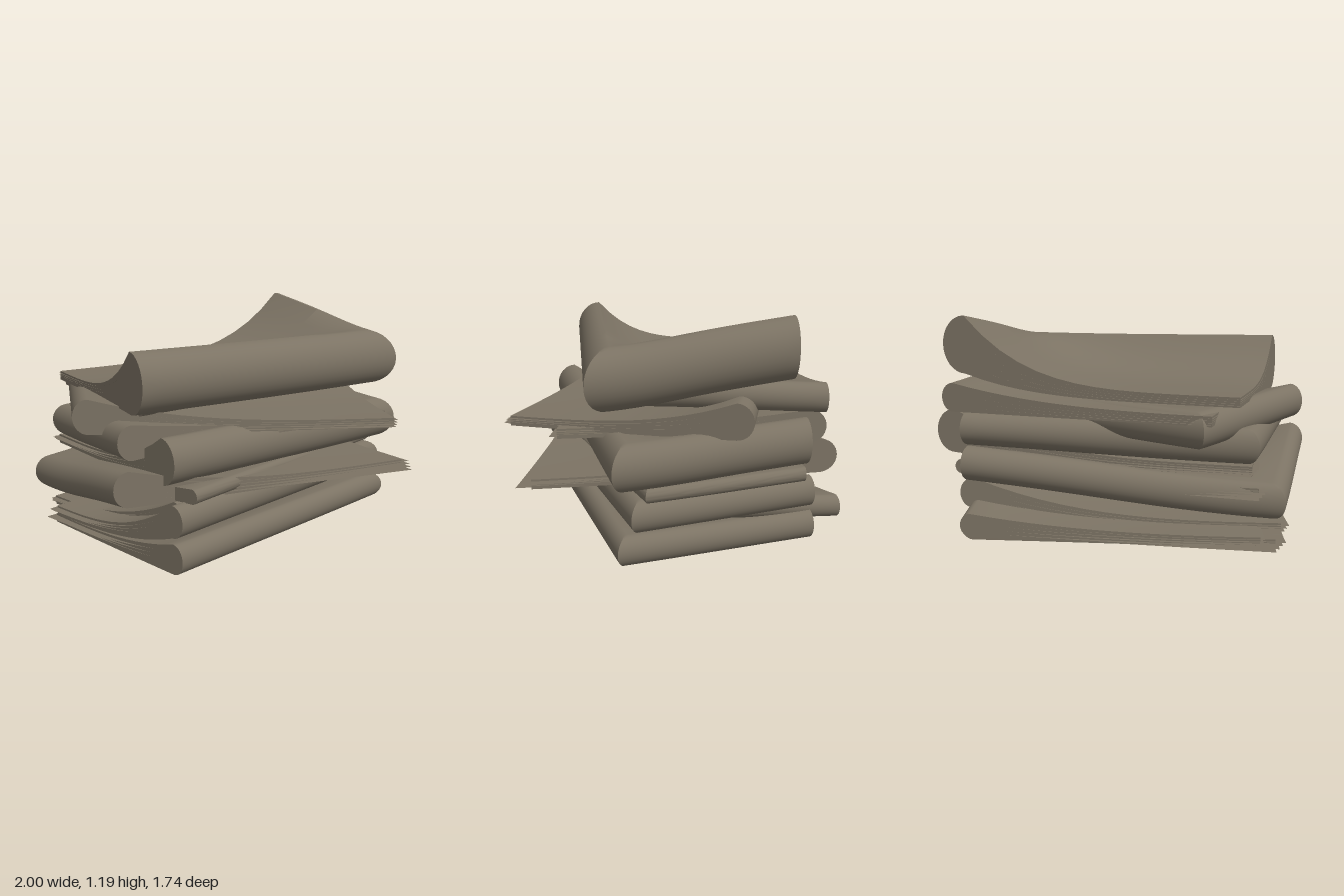
import * as THREE from 'three';
import { toCreasedNormals } from 'three/addons/utils/BufferGeometryUtils.js';

const paper = new THREE.MeshStandardMaterial({ color: 0x7c7364, side: THREE.DoubleSide });
paper.name = 'greyBrownPaper';

const LEAF_THICKNESS = 0.05;
const LEAVES = 4;
const { lerp } = THREE.MathUtils;

// Folded bundles from the floor up. Each lies at x, z, turned by yaw degrees;
// taper narrows its depth towards the side fold, loose is how far leaves stick out.
// low is the underside at the loose corner, the side fold, where folds meet, the long fold.
const BUNDLES = [
  { name: 'bottomBundle', x: 0.02, z: 0.035, yaw: 15, width: 1.66, depth: 1.05, taper: 0,
    low: [0.01, 0.005, 0, 0.015], thick: 0.155, loose: 0.08 },
  { name: 'secondBundleLowerPart', x: 0.01, z: -0.13, yaw: 17, width: 1.52, depth: 1.04, taper: 0,
    low: [0.06, 0.08, 0.2, 0.2], thick: 0.12, loose: 0.04 },
  { name: 'secondBundle', x: 0.02, z: 0.035, yaw: 17, width: 1.69, depth: 0.99, taper: 0,
    low: [0.08, 0.18, 0.175, 0.2], thick: 0.165, loose: 0.06 },
  { name: 'thirdBundle', x: -0.145, z: 0.03, yaw: 184.6, width: 1.61, depth: 1.26, taper: 0.24,
    low: [0.34, 0.35, 0.19, 0.35], thick: 0.18, loose: 0.05 },
  { name: 'thinBundle', x: 0.07, z: -0.02, yaw: 13.9, width: 1.61, depth: 1.02, taper: 0.18,
    low: [0.31, 0.35, 0.33, 0.365], thick: 0.075, loose: 0.07 },
  { name: 'fourthBundle', x: 0.1, z: 0, yaw: 9, width: 1.69, depth: 1.05, taper: 0.07,
    low: [0.42, 0.46, 0.385, 0.435], thick: 0.235, loose: 0.05 },
  { name: 'innerBundle', x: -0.085, z: -0.03, yaw: 182.5, width: 1.51, depth: 1.1, taper: 0.23,
    low: [0.59, 0.53, 0.47, 0.52], thick: 0.18, loose: 0.03 },
  { name: 'fifthBundle', x: -0.03, z: 0.005, yaw: 161.3, width: 1.64, depth: 1.09, taper: 0.13,
    low: [0.62, 0.63, 0.58, 0.63], thick: 0.18, loose: 0.03 },
  { name: 'topBundleLowerPart', x: 0.05, z: -0.16, yaw: 1.4, width: 1.44, depth: 1.07, taper: 0,
    low: [0.7, 0.7, 0.76, 0.72], thick: 0.15, loose: 0.01 },
  { name: 'topBundle', x: 0.06, z: -0.005, yaw: 2, width: 1.63, depth: 1.03, taper: 0.02,
    low: [0.77, 0.88, 0.735, 0.755], thick: 0.31, loose: 0.01 },
];

const foldRadius = (b) => b.thick * 0.42;

// Point of a bundle: u runs to the side fold, v to the long fold, f from underside to top.
// Heights swell only near the folds, so the middle stays a shallow dish.
function bundlePoint(b, u, v, f) {
  const rise = (w, size) =>
    THREE.MathUtils.clamp(w / (1 - foldRadius(b) / size), 0, 1) ** (1.5 + 9 * b.thick);
  const s = rise(u, b.width);
  const t = rise(v, b.depth);
  const swell = 1 - (1 - s) * (1 - t);
  const [loose, side, both, long] = b.low;
  const foldLow = (s * lerp(side, both, v) + t * lerp(long, both, u)) / (s + t || 1);
  const low = lerp(loose, foldLow, swell);
  const along = (u - 0.5) * b.width;
  const across = (v - 0.5) * b.depth * (1 + b.taper * (1 - 2 * u));
  const yaw = THREE.MathUtils.degToRad(b.yaw);
  return [
    b.x + along * Math.cos(yaw) + across * Math.sin(yaw),
    low + lerp(LEAF_THICKNESS, b.thick, swell) * f,
    b.z - along * Math.sin(yaw) + across * Math.cos(yaw),
  ];
}

// Grid of quads over a rule that returns points
function addGrid(positions, nu, nv, rule, flip = false) {
  for (let i = 0; i < nu; i++) {
    for (let j = 0; j < nv; j++) {
      const a = rule(i, j), b = rule(i, j + 1), c = rule(i + 1, j + 1), d = rule(i + 1, j);
      const quad = flip ? [a, c, b, a, d, c] : [a, b, c, a, c, d];
      quad.forEach((q) => positions.push(...q));
    }
  }
}

function makeMesh(positions, name) {
  const geometry = new THREE.BufferGeometry();
  geometry.setAttribute('position', new THREE.Float32BufferAttribute(positions, 3));
  const mesh = new THREE.Mesh(toCreasedNormals(geometry, 0.75), paper);
  mesh.name = name;
  return mesh;
}

// Steps from the loose edge to the fold, with the rounding of the fold
function foldSteps(radius) {
  const steps = [];
  for (let i = 0; i < 14; i++) steps.push({ t: (i / 14) * (1 - radius), k: 1 });
  for (let i = 0; i <= 8; i++) {
    const angle = (i / 8) * Math.PI / 2;
    steps.push({ t: 1 - radius + radius * Math.sin(angle), k: Math.cos(angle) });
  }
  return steps;
}

// Folded body: top, underside and the two loose edges
function makeBody(b) {
  const us = foldSteps(foldRadius(b) / b.width);
  const vs = foldSteps(foldRadius(b) / b.depth);
  const at = (i, j, side) => {
    const k = Math.min(us[i].k, vs[j].k);
    return bundlePoint(b, us[i].t, vs[j].t, 0.5 + 0.5 * side * k);
  };
  const nu = us.length - 1, nv = vs.length - 1;
  const positions = [];
  addGrid(positions, nu, nv, (i, j) => at(i, j, 1));
  addGrid(positions, nu, nv, (i, j) => at(i, j, -1), true);
  addGrid(positions, 1, nv, (i, j) => at(0, j, i ? 1 : -1));
  addGrid(positions, nu, 1, (i, j) => at(i, 0, j ? 1 : -1));
  return makeMesh(positions, 'foldedBody');
}

// Loose leaf fanned out past the open edges, tucked in again towards the folds
function makeLeaf(b, index) {
  const n = 14;
  const rank = index / (LEAVES - 1);
  const overU = b.loose * 0.4 * rank;
  const overV = b.loose * (1 - 0.8 * rank);
  const f = 0.2 + 0.6 * rank;
  const positions = [];
  addGrid(positions, n, n, (i, j) => {
    const p = i / n, q = j / n;
    return bundlePoint(b, lerp(-overU * (1 - q), 0.85, p), lerp(-overV * (1 - p), 0.8, q), f);
  });
  return makeMesh(positions, 'looseLeaf');
}

export function createModel() {
  const model = new THREE.Group();
  model.name = 'foldedPaperStack';
  for (const b of BUNDLES) {
    const bundle = new THREE.Group();
    bundle.name = b.name;
    bundle.add(makeBody(b));
    for (let i = 0; i < LEAVES; i++) bundle.add(makeLeaf(b, i));
    model.add(bundle);
  }
  return model;
}
